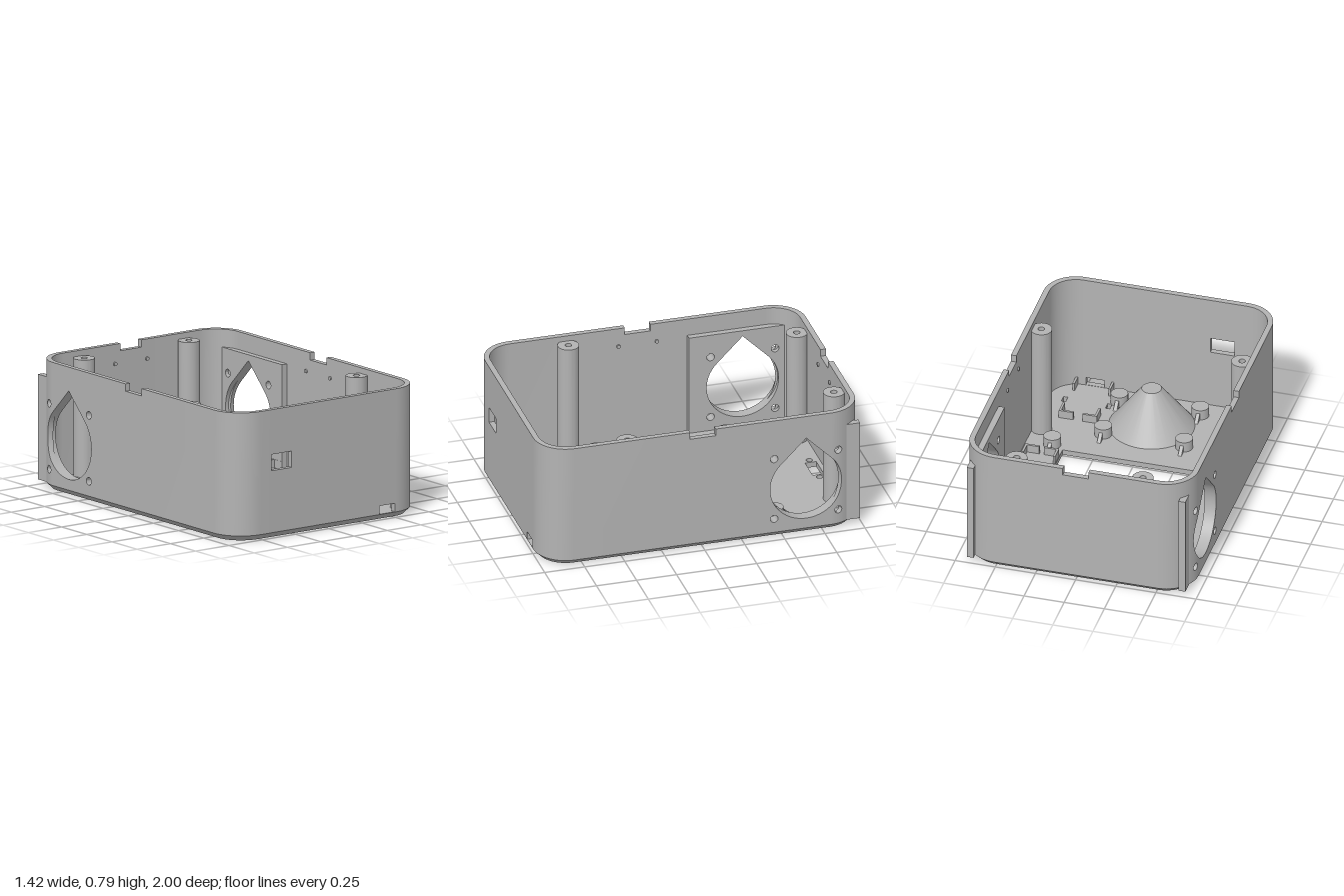
import * as THREE from 'three';
import { toCreasedNormals } from 'three/addons/utils/BufferGeometryUtils.js';

const TOP = 0.79, T = 0.034, R = 0.2, HX = 0.51, HZ = 0.8; // wall top, thickness, corner radius, straight half lengths
const ARC = Math.PI * R / 2, LENS = [2 * HZ, 2 * HX, 2 * HZ, 2 * HX];
const BACK = 2 * HZ + ARC, LEFT = BACK + 2 * HX + ARC, FRONT = LEFT + 2 * HZ + ARC;
const FAN = { z: -0.645, y: 0.325, r: 0.225 };
const FAN_SCREWS = [[-0.445, 0.125], [-0.445, 0.53], [-0.848, 0.125], [-0.848, 0.53]];

// Point on the rounded outline, s running along the perimeter, r the corner radius
function rim(s, r) {
  let x = HX, z = HZ;
  for (let k = 0; k < 4; k++) {
    const a = k * Math.PI / 2, run = Math.min(s, LENS[k]);
    x -= Math.sin(a) * run;
    z -= Math.cos(a) * run;
    if (s <= LENS[k] + ARC + 1e-6) {
      const t = a + Math.max(0, s - LENS[k]) / R;
      return [x + r * Math.cos(t), z - r * Math.sin(t)];
    }
    s -= LENS[k] + ARC;
  }
}

// Wall openings: a span along s with lower and upper edges
const rectHole = (s0, s1, y0, y1) => ({ s0, s1, lo: () => y0, hi: () => y1, cuts: [s0, s1], jamb: true });
function roundHole(c, y, r, tear, n) {
  const half = s => Math.sqrt(Math.max(0, r * r - (s - c) ** 2));
  const cuts = Array.from({ length: n + 1 }, (_, i) => c - r * Math.cos(i * Math.PI / n));
  const hi = s => tear && Math.abs(s - c) < r * Math.SQRT1_2 ? y + r * Math.SQRT2 - Math.abs(s - c) : y + half(s);
  return { s0: c - r, s1: c + r, lo: s => y - half(s), hi, cuts };
}

function wallGeometry() {
  const holes = [
    rectHole(BACK + HX - 0.08, BACK + HX + 0.08, 0.745, TOP),
    rectHole(FRONT + HX - 0.43, FRONT + HX - 0.28, 0.415, 0.515),
    rectHole(FRONT + HX + 0.38, FRONT + HX + 0.495, 0.036, 0.087),
  ];
  for (const at of [z => HZ - z, z => LEFT + HZ + z]) {
    holes.push(rectHole(at(0) - 0.08, at(0) + 0.08, 0.745, TOP), roundHole(at(FAN.z), FAN.y, FAN.r, true, 32));
    FAN_SCREWS.forEach(([z, y]) => holes.push(roundHole(at(z), y, 0.024, false, 12)));
  }
  const cuts = holes.flatMap(h => h.cuts);
  let start = 0;
  for (const len of LENS) {
    cuts.push(start);
    for (let i = 0; i <= 12; i++) cuts.push(start + len + ARC * i / 12);
    start += len + ARC;
  }
  cuts.sort((a, b) => a - b);

  const pos = [];
  const quad = (a, b, c, d) => pos.push(...a, ...b, ...c, ...a, ...c, ...d);
  const pt = (s, y, r) => { const [x, z] = rim(s, r); return [x, y, z]; };
  const O = (s, y) => pt(s, y, R), I = (s, y) => pt(s, y, R - T);
  for (let i = 0; i + 1 < cuts.length; i++) {
    const a = cuts[i], b = cuts[i + 1], m = (a + b) / 2;
    if (b - a < 1e-5) continue;
    const open = holes.filter(h => h.s0 < m && h.s1 > m).sort((p, q) => p.lo(m) - q.lo(m));
    let low = () => T;
    for (let j = 0; j <= open.length; j++) {
      const up = j < open.length ? open[j].lo : () => TOP;
      if (low(m) < TOP) {
        // the lowest piece ends in the chamfer
        const ia = j ? low(a) : 0, ib = j ? low(b) : 0;
        quad(O(a, low(a)), O(b, low(b)), O(b, up(b)), O(a, up(a)));
        quad(I(b, ib), I(a, ia), I(a, up(a)), I(b, up(b)));
        quad(O(a, up(a)), O(b, up(b)), I(b, up(b)), I(a, up(a)));
        quad(I(a, ia), I(b, ib), O(b, low(b)), O(a, low(a)));
      }
      if (j < open.length) low = open[j].hi;
    }
  }
  for (const { s0, s1, lo, hi } of holes.filter(h => h.jamb)) {
    const l = lo(s0), h = hi(s0);
    quad(I(s0, l), I(s0, h), O(s0, h), O(s0, l));
    quad(O(s1, l), O(s1, h), I(s1, h), I(s1, l));
  }
  const g = new THREE.BufferGeometry();
  g.setAttribute('position', new THREE.Float32BufferAttribute(pos, 3));
  return toCreasedNormals(g, 0.55);
}

const poly = pts => new THREE.Shape(pts.map(p => new THREE.Vector2(...p)));
const rect = (x0, y0, x1, y1) => poly([[x0, y0], [x1, y0], [x1, y1], [x0, y1]]);
const disc = (x, y, r) => new THREE.Shape().absarc(x, y, r, 0, Math.PI * 2);
const extrude = (shape, depth) =>
  toCreasedNormals(new THREE.ExtrudeGeometry(shape, { depth, bevelEnabled: false, curveSegments: 24 }), 0.55);
// Shapes drawn in (x, z), filling y0..y1; and shapes drawn in (z, y), filling x0..x1
const slab = (shape, y0, y1) => extrude(shape, y1 - y0).rotateX(Math.PI / 2).translate(0, y1, 0);
const sidePlate = (shape, x0, x1) => extrude(shape, x1 - x0).rotateY(-Math.PI / 2).translate(x1, 0, 0);

export function createModel() {
  const model = new THREE.Group();
  const grey = new THREE.MeshStandardMaterial({ color: 0xb3b3b3 });
  grey.name = 'grey plastic';
  const add = (name, geometry) => {
    const mesh = new THREE.Mesh(geometry, grey);
    mesh.name = name;
    model.add(mesh);
    return mesh;
  };
  const box = (name, x0, x1, y0, y1, z0, z1) =>
    add(name, new THREE.BoxGeometry(x1 - x0, y1 - y0, z1 - z0).translate((x0 + x1) / 2, (y0 + y1) / 2, (z0 + z1) / 2));

  add('wall', wallGeometry());

  const posts = [], standoffs = [];
  for (const s of [-1, 1]) {
    posts.push([s * 0.393, -0.91], [s * 0.625, 0.447]);
    standoffs.push([s * 0.515, -0.505], [s * 0.515, 0.3], [s * 0.252, 0.49], [s * 0.252, 0.845]);
  }

  // Floor with display window, speaker opening, slots and screw holes
  const outline = [];
  for (let k = 0, s = 0; k < 4; s += LENS[k++] + ARC)
    for (let i = 0; i <= 12; i++) outline.push(rim(s + LENS[k] + ARC * i / 12, R - T));
  const floor = poly(outline);
  floor.holes.push(
    rect(-0.44, -0.465, 0.44, 0.262), disc(0, 0.665, 0.23), rect(-0.08, -0.94, 0.08, -0.87),
    rect(0.288, 0.76, 0.59, 0.81), disc(-0.11, -0.905, 0.02), disc(0.11, -0.905, 0.02),
    ...posts.map(([x, z]) => disc(x, z, 0.035)), ...standoffs.map(([x, z]) => disc(x, z, 0.02)));
  add('floor', slab(floor, 0, T));
  box('slotBridge', 0.315, 0.563, 0.016, T, 0.76, 0.81);

  // Hollow cone over the round opening
  const cone = [[0, 0.27], [0.04, 0.27], [0.23, T], [0.26, T], [0.06, 0.3], [0, 0.3]];
  add('cone', toCreasedNormals(
    new THREE.LatheGeometry(cone.map(p => new THREE.Vector2(...p)), 48), 0.5).translate(0, 0, 0.665));

  // Tall screw posts
  for (const [x, z] of posts) {
    const ring = disc(x, z, 0.065);
    ring.holes.push(disc(x, z, 0.02));
    add('screwPost', slab(ring, T - 0.004, 0.755));
  }

  // Short standoffs with sloped gussets
  const gusset = poly([[-0.1, T], [0.1, T], [0.04, 0.09], [-0.04, 0.09]]);
  for (const [x, z] of standoffs) {
    add('standoff', new THREE.CylinderGeometry(0.053, 0.053, 0.066, 24).translate(x, T + 0.033, z));
    add('gusset', sidePlate(gusset, x - 0.011, x + 0.011).translate(0, 0, z));
  }

  // Thick plates behind the drop-shaped openings, running out through the back corners
  const { z: fz, y: fy, r: fr } = FAN;
  const plate = rect(-0.99, T, -0.31, 0.68);
  const drop = new THREE.Path();
  drop.absarc(fz, fy, fr, Math.PI * 3 / 4, Math.PI * 9 / 4);
  drop.lineTo(fz, fy + fr * Math.SQRT2);
  plate.holes.push(drop, ...FAN_SCREWS.map(([z, y]) => disc(z, y, 0.024)));
  for (const x of [-0.68, 0.638]) add('sidePlate', sidePlate(plate, x, x + 0.042));

  // Low corner brackets holding small boards; sx, sz point along the legs
  const H = 0.085, W = 0.014;
  const bracket = (x, z, sx, sz) => {
    const span = (p, d) => [Math.min(p, p + d), Math.max(p, p + d)];
    box('bracket', ...span(x, sx * 0.09), T, H, ...span(z, sz * W));
    box('bracket', ...span(x, sx * W), T, H, ...span(z, sz * 0.09));
  };
  bracket(0.443, -0.397, 1, 1);
  bracket(0.65, -0.397, -1, 1);
  bracket(0.443, 0.197, 1, -1);
  bracket(0.653, 0.197, -1, -1);
  bracket(0.32, 0.588, 1, 1);
  bracket(0.557, 0.588, -1, 1);
  for (const x of [0.32, 0.543]) box('boardRail', x, x + W, T, H, 0.89, 0.967);

  // Small snap bumps under the rim notches
  for (const d of [-0.12, 0.12]) {
    for (const s of [-1, 1])
      add('snapBump', new THREE.CylinderGeometry(0.012, 0.012, 0.012, 12).rotateZ(Math.PI / 2).translate(s * 0.673, 0.67, d));
    add('snapBump', new THREE.CylinderGeometry(0.012, 0.012, 0.012, 12).rotateX(Math.PI / 2).translate(d, 0.67, -0.963));
  }
  return model;
}
